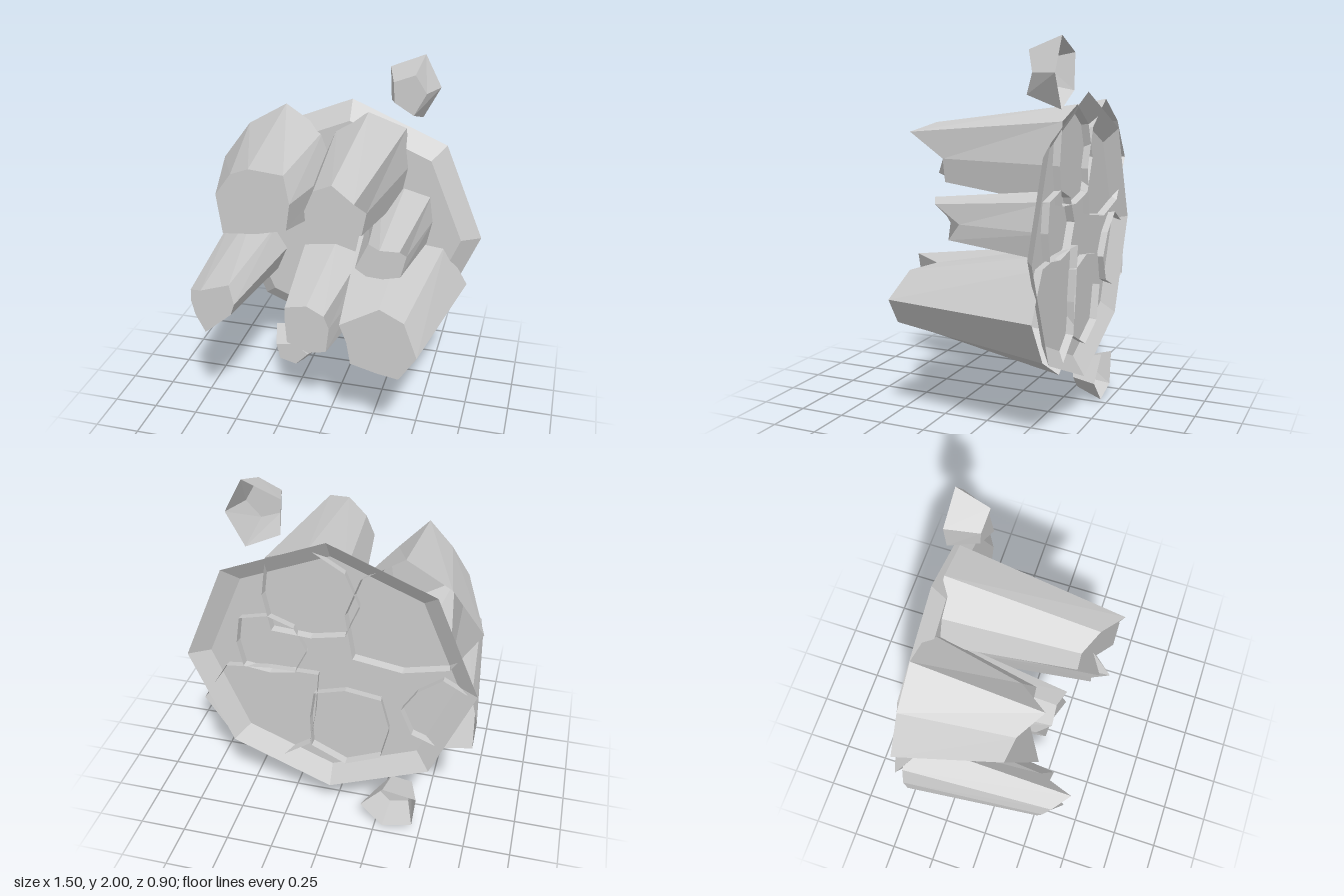
import * as THREE from 'three';

const material = new THREE.MeshStandardMaterial({ color: 0xcccccc, side: THREE.DoubleSide });

// Tapered rock pointing to +z, open at the back. Radii and tip depths run
// counter-clockwise from +x; the front rim is the back rim times taper.
function rock(name, { x, y, back, taper = 0.62, radii, tips, centre }) {
  const n = radii.length;
  const walls = [], cap = [];
  const rim = (i, scale, z) => {
    const a = (i / n) * Math.PI * 2, r = radii[i] * scale;
    return [Math.cos(a) * r, Math.sin(a) * r, z];
  };
  for (let i = 0; i < n; i++) {
    const j = (i + 1) % n;
    const a = rim(i, 1, back), b = rim(j, 1, back);
    const c = rim(j, taper, tips[j]), d = rim(i, taper, tips[i]);
    walls.push(...a, ...b, ...d, ...b, ...c, ...d);
    cap.push(0, 0, centre, ...d, ...c);
  }
  const geometry = new THREE.BufferGeometry();
  geometry.setAttribute('position', new THREE.Float32BufferAttribute([...walls, ...cap], 3));
  geometry.computeVertexNormals();
  // The jagged cap is shaded as one face
  const normal = geometry.attributes.normal;
  for (let i = walls.length / 3; i < normal.count; i++) normal.setXYZ(i, 0, 0, 1);
  const mesh = new THREE.Mesh(geometry, material);
  mesh.name = name;
  mesh.position.set(x, y, 0);
  return mesh;
}

export function createModel() {
  const group = new THREE.Group();
  group.name = 'rockCluster';

  // Bevelled octagonal slab
  group.add(rock('basePlate', {
    x: 0, y: 0.98, back: -0.455, taper: 0.86, centre: -0.39,
    radii: Array(8).fill(0.75), tips: Array(8).fill(-0.39),
  }));

  // Jagged columns
  const columns = [
    { x: -0.37, y: 1.33, centre: 0.15,
      radii: [0.29, 0.3, 0.35, 0.31, 0.38, 0.33, 0.29, 0.355],
      tips: [0.13, 0.07, 0.23, 0.13, 0.1, 0.25, 0.15, 0.12] },
    { x: 0.095, y: 1.385, centre: 0.32,
      radii: [0.24, 0.3, 0.285, 0.25, 0.25, 0.25, 0.215, 0.285],
      tips: [0.25, 0.45, 0.36, 0.3, 0.3, 0.41, 0.25, 0.25] },
    { x: 0.315, y: 1.08, centre: 0.17,
      radii: [0.17, 0.21, 0.185, 0.19, 0.2, 0.19, 0.16, 0.2],
      tips: [0.07, 0.21, 0.26, 0.14, 0.26, 0.18, 0.16, 0.14] },
    { x: 0.32, y: 0.69, centre: 0.33,
      radii: [0.37, 0.33, 0.26, 0.37, 0.24, 0.29, 0.355, 0.32],
      tips: [0.41, 0.33, 0.25, 0.45, 0.35, 0.35, 0.27, 0.41] },
    { x: -0.08, y: 0.66, centre: 0.2,
      radii: [0.19, 0.235, 0.215, 0.265, 0.235, 0.27, 0.275, 0.26],
      tips: [0.2, 0.25, 0.22, 0.23, 0.15, 0.2, 0.2, 0.25] },
    { x: -0.575, y: 0.805, centre: 0.3,
      radii: [0.205, 0.18, 0.225, 0.205, 0.18, 0.24, 0.205, 0.205],
      tips: [0.32, 0.26, 0.45, 0.37, 0.33, 0.3, 0.42, 0.28] },
  ];
  columns.forEach((c, i) => group.add(rock(`column${i + 1}`, { back: -0.43, ...c })));

  // Loose five-sided stones
  const stones = [
    { x: 0.335, y: 1.83, centre: -0.29,
      radii: [0.145, 0.18, 0.16, 0.148, 0.18], tips: [-0.32, -0.28, -0.29, -0.3, -0.27] },
    { x: -0.335, y: 0.13, centre: -0.29,
      radii: [0.165, 0.142, 0.172, 0.15, 0.137], tips: [-0.31, -0.28, -0.28, -0.31, -0.31] },
  ];
  stones.forEach((s, i) => group.add(rock(`stone${i + 1}`, { back: -0.455, ...s })));

  return group;
}
